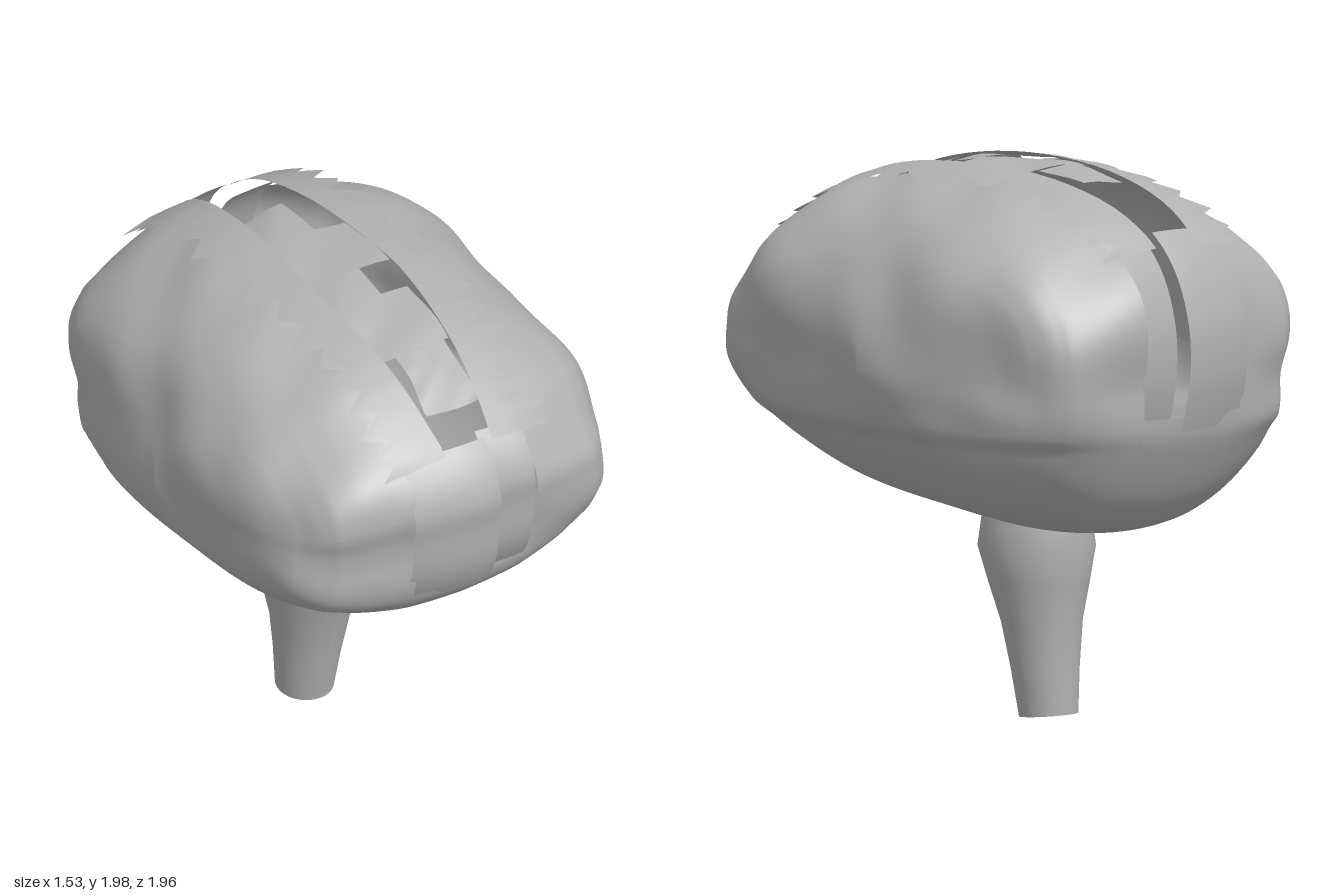
import * as THREE from 'three';

const grey = new THREE.MeshStandardMaterial({ color: 0xb2b2b2, side: THREE.DoubleSide });
grey.name = 'grey';

const HALF = 0.76, MID = 1.32;

// Side profile as (z, y): starts at the front, runs under, up the back and over the top
const profile = new THREE.CatmullRomCurve3([
  [0.985, 1.5], [0.975, 1.38], [0.95, 1.2], [0.87, 1.05], [0.7, 0.92], [0.4, 0.78], [0, 0.71], [-0.4, 0.675],
  [-0.65, 0.71], [-0.77, 0.8], [-0.88, 0.98], [-0.93, 1.1], [-0.975, 1.3], [-0.965, 1.5], [-0.88, 1.7],
  [-0.7, 1.855], [-0.4, 1.955], [0, 1.99], [0.35, 1.96], [0.6, 1.885], [0.8, 1.755], [0.93, 1.625],
].map(([z, y]) => new THREE.Vector3(0, y, z)), true);
const COUNT = 22;

// Half-length of the plan outline against sideways position: square shoulders, blunt point at the side
const PLAN = [[0, 1], [0.3, 0.99], [0.55, 0.95], [0.7, 0.915], [0.78, 0.86], [0.85, 0.76], [0.9, 0.6],
  [0.95, 0.38], [1, 0]];
function planLength(t) {
  const i = Math.max(1, PLAN.findIndex(([x]) => t <= x));
  const [x0, y0] = PLAN[i - 1], [x1, y1] = PLAN[i];
  return THREE.MathUtils.mapLinear(t, x0, x1, y0, y1);
}

// Soft folds of the upper lobes
function folds(x, y, z) {
  return 0.016 * Math.sin(7 * z + 5 * y + 3 * x) + 0.01 * Math.sin(13 * y - 6 * z + 4 * x)
    + 0.01 * Math.sin(15 * z + 9 * x) * Math.cos(8 * y);
}

// Point on the body: profile position u, sideways position x
function surface(u, x, scale, bump) {
  const p = profile.getPoint((((u % COUNT) + COUNT) % COUNT) / COUNT);
  const t = Math.min(1, Math.abs(x) / HALF);
  const sy = Math.pow(1 - Math.pow(t, 2.15), 1 / 2.15);
  p.set(x, MID + (p.y - MID) * sy * (0.5 + 0.5 * scale), p.z * planLength(t) * scale);
  if (bump) {
    // The lobes overhang the narrower, smooth underside with a small ledge
    const lift = THREE.MathUtils.smoothstep(p.y, 1.04, 1.1);
    const upper = THREE.MathUtils.smoothstep(p.y, 1.06, 1.3);
    const k = 1 + folds(p.x, p.y, p.z) * upper;
    p.set(p.x * k * (0.965 + 0.035 * lift), MID + (p.y - MID) * k, p.z * k * (1.04 - 0.04 * upper));
  }
  return p;
}

// Patch of the body between two edges, each a number or a function of (row, u)
function patch(name, { u0, u1, nu, nx, left, right, scale = 1, bump = false }) {
  const at = (edge, i, u) => (typeof edge === 'function' ? edge(i, u) : edge);
  const pos = [], idx = [];
  for (let i = 0; i <= nu; i++) {
    const u = u0 + (u1 - u0) * i / nu;
    const a = Math.asin(at(left, i, u) / HALF), b = Math.asin(at(right, i, u) / HALF);
    for (let j = 0; j <= nx; j++) {
      const x = HALF * Math.sin(a + (b - a) * j / nx);
      const s = typeof scale === 'function' ? scale(j / nx, u, i) : scale;
      pos.push(...surface(u, x, s, bump).toArray());
    }
  }
  for (let i = 0; i < nu; i++) for (let j = 0; j < nx; j++) {
    const a = i * (nx + 1) + j, b = a + nx + 1;
    idx.push(a, b, a + 1, b, b + 1, a + 1);
  }
  const g = new THREE.BufferGeometry();
  g.setAttribute('position', new THREE.Float32BufferAttribute(pos, 3));
  g.setIndex(idx);
  g.computeVertexNormals();
  const mesh = new THREE.Mesh(g, grey);
  mesh.name = name;
  return mesh;
}

export function createModel() {
  const model = new THREE.Group();
  model.name = 'brainOnStem';

  // Two folded lobes, joined below by a smooth underside
  const body = { scale: 0.955, bump: true };
  const lobe = { ...body, u0: 0, u1: COUNT, nu: 176, nx: 36 };
  model.add(patch('leftLobe', { ...lobe, left: 0.24, right: HALF }));
  model.add(patch('rightLobe', { ...lobe, left: -HALF, right: -0.24 }));
  model.add(patch('underside', { ...body, u0: 2.5, u1: 11.25, nu: 70, nx: 16, left: -0.24, right: 0.24 }));

  // Toothed strips along the top, either side of the open groove
  const tooth = (i) => (i % 2 ? 0.28 : 0.36 + 0.02 * Math.sin(i * 1.7));
  const inner = (u) => 0.17 - 0.07 * Math.min(1, Math.abs(u - 17.4) / 3);
  const top = { u0: 14.3, u1: 20.6, nu: 28, nx: 4 };
  model.add(patch('rightToothedStrip', {
    ...top, left: (i) => -tooth(i), right: (i, u) => -inner(u),
    scale: (v, u, i) => 0.99 + 0.01 * v + (i % 2 ? 0 : 0.03 * (1 - v)),
  }));
  model.add(patch('leftToothedStrip', {
    ...top, left: (i, u) => inner(u), right: tooth,
    scale: (v, u, i) => 1 - 0.01 * v + (i % 2 ? 0 : 0.03 * v),
  }));

  // Raised and sunken bands down the front and back
  for (const [end, u0, u1] of [['back', 11, 14.6], ['front', 20.5, 24.7]]) {
    model.add(patch(end + 'RaisedBand', {
      u0, u1, nu: 24, nx: 8, left: -0.26, right: 0.07, scale: (v) => 0.965 + 0.035 * Math.sin(v * 1.7),
    }));
    model.add(patch(end + 'SunkenBand', {
      u0, u1, nu: 24, nx: 6, left: 0.07, right: 0.25, scale: (v) => 0.93 + 0.025 * v,
    }));
  }

  // Uneven floor pieces inside the groove
  const pieces = [[15.9, 16.5, -0.16, 0.05], [16.5, 17.3, -0.18, 0.17], [17.3, 17.75, -0.17, 0.04],
    [17.75, 18.8, -0.17, 0.15], [18.8, 19.9, -0.08, 0.13]];
  pieces.forEach(([u0, u1, left, right], k) => model.add(patch('grooveFloor' + (k + 1), {
    u0, u1, nu: 8, nx: 6, left, right,
    scale: (v, u) => 0.95 + 0.02 * Math.sin(5 * u + 4 * v),
  })));

  // Open, leaning stem
  const outline = [[0.105, 0], [0.122, 0.17], [0.145, 0.34], [0.18, 0.48], [0.21, 0.61], [0.195, 0.72]]
    .map(([r, y]) => new THREE.Vector2(r, y));
  const stemGeo = new THREE.LatheGeometry(outline, 32);
  const p = stemGeo.attributes.position;
  for (let i = 0; i < p.count; i++) {
    const y = p.getY(i), z = p.getZ(i);
    const low = Math.max(0, 1 - y / 0.6);
    p.setZ(i, z - 0.13 - 0.06 * low);
    p.setY(i, y + low * (0.105 - z) * 0.09);
  }
  stemGeo.computeVertexNormals();
  const stem = new THREE.Mesh(stemGeo, grey);
  stem.name = 'stem';
  model.add(stem);

  return model;
}
